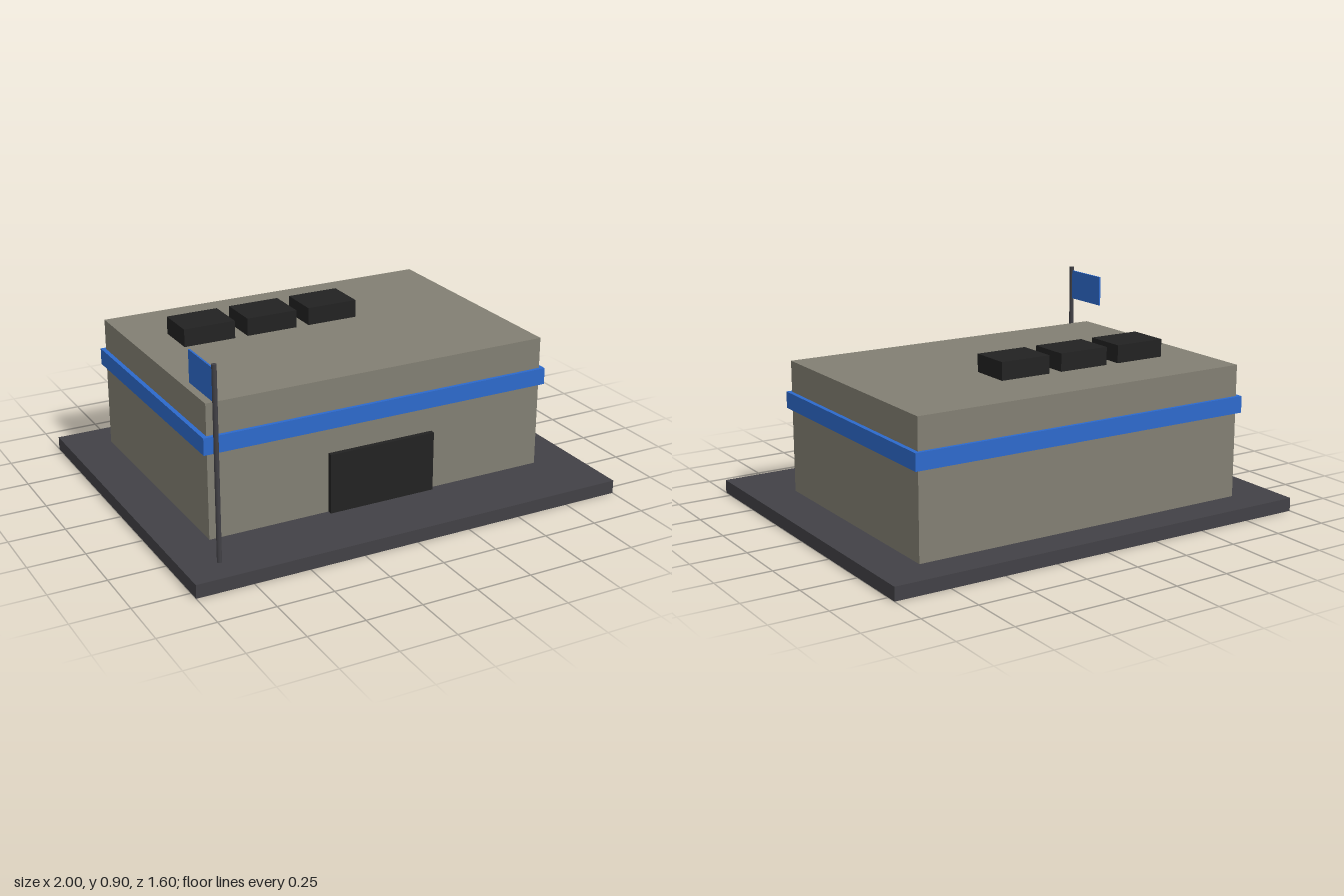
import * as THREE from 'three';

const material = (name, color) => {
  const m = new THREE.MeshStandardMaterial({ color });
  m.name = name;
  return m;
};

export function createModel() {
  const model = new THREE.Group();
  model.name = 'building';

  const asphalt = material('asphalt grey', 0x424146);
  const wall = material('warm grey wall', 0x827f73);
  const blue = material('blue trim', 0x2d6acc);
  const black = material('charcoal', 0x222222);

  const add = (name, geometry, mat, x, y, z) => {
    const mesh = new THREE.Mesh(geometry, mat);
    mesh.name = name;
    mesh.position.set(x, y, z);
    model.add(mesh);
  };

  // Box given by its extents along each axis
  const box = (name, mat, [x0, x1], [y0, y1], [z0, z1]) =>
    add(name, new THREE.BoxGeometry(x1 - x0, y1 - y0, z1 - z0), mat,
      (x0 + x1) / 2, (y0 + y1) / 2, (z0 + z1) / 2);

  // Ground slab and main block
  box('groundSlab', asphalt, [-1, 1], [0, 0.06], [-0.8, 0.8]);
  box('mainBlock', wall, [-0.8, 0.8], [0.06, 0.66], [-0.64, 0.48]);

  // Trim band around all four walls
  box('trimBand', blue, [-0.82, 0.82], [0.445, 0.52], [-0.656, 0.496]);

  // Front door
  box('door', black, [-0.25, 0.25], [0.06, 0.33], [0.47, 0.502]);

  // Row of rooftop units
  for (const x of [-0.5, -0.2, 0.1]) {
    box('roofUnit', black, [x - 0.12, x + 0.12], [0.66, 0.74], [-0.336, -0.144]);
  }

  // Flagpole with its flag pointing to the back
  add('flagpole', new THREE.CylinderGeometry(0.011, 0.011, 0.84, 8), asphalt, -0.842, 0.48, 0.672);
  box('flag', blue, [-0.846, -0.838], [0.742, 0.882], [0.434, 0.666]);

  return model;
}
